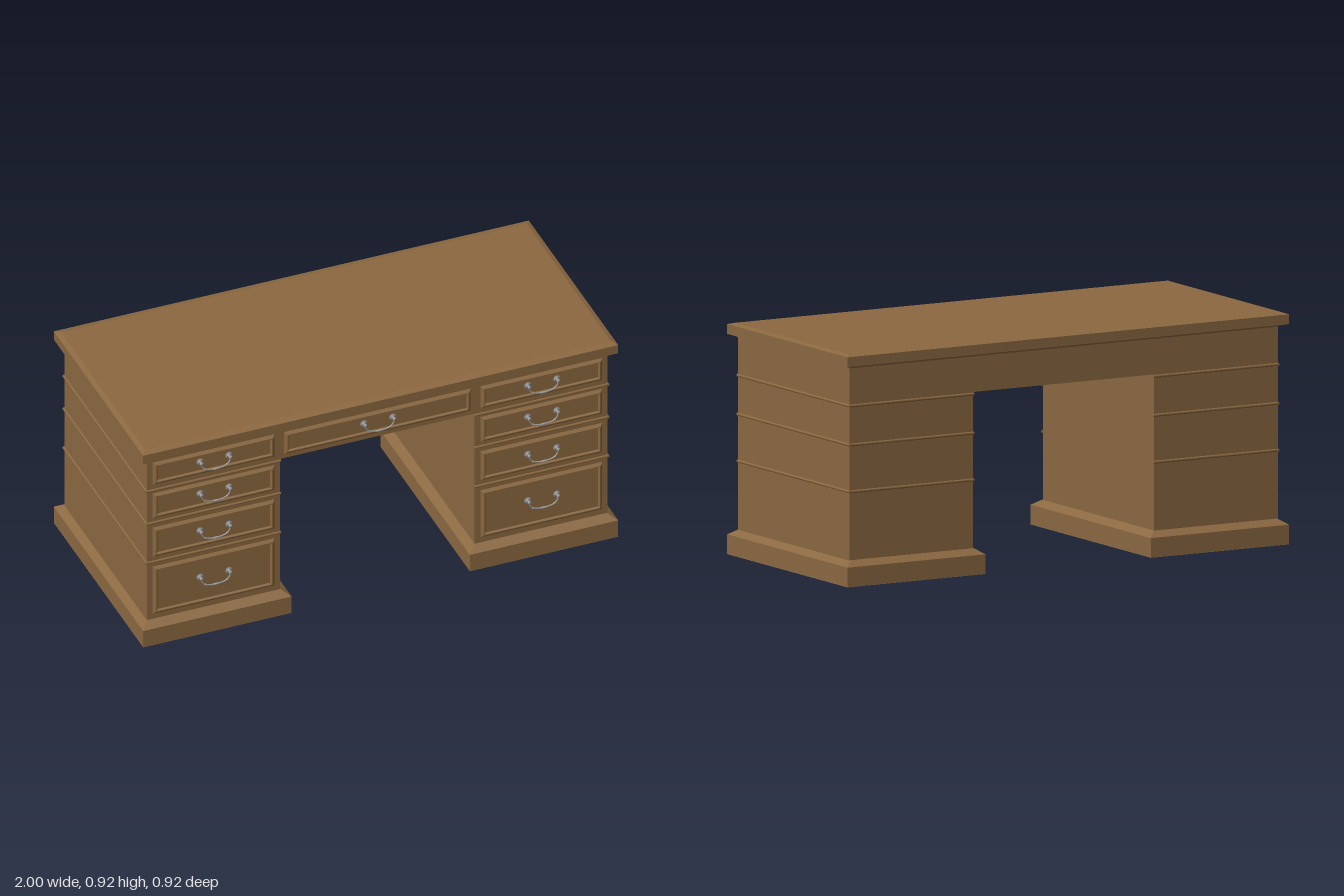
import * as THREE from 'three';

const wood = new THREE.MeshStandardMaterial({ color: 0x8b6840 });
wood.name = 'wood';
const metal = new THREE.MeshStandardMaterial({ color: 0x9a9a9a });
metal.name = 'metal';
const felt = new THREE.MeshStandardMaterial({ color: 0x94846c });
felt.name = 'underside';

// Closed solid through rectangles [halfWidth, halfDepth, height], stacked upwards
function loft(rings) {
  const corners = [[1, 1], [1, -1], [-1, -1], [-1, 1]];
  const at = (r, i) => [corners[i % 4][0] * r[0], r[2], corners[i % 4][1] * r[1]];
  const pos = [];
  const quad = (a, b, c, d) => pos.push(...a, ...b, ...c, ...a, ...c, ...d);
  for (let k = 0; k + 1 < rings.length; k++) {
    for (let i = 0; i < 4; i++) {
      quad(at(rings[k], i), at(rings[k], i + 1), at(rings[k + 1], i + 1), at(rings[k + 1], i));
    }
  }
  const first = rings[0], last = rings[rings.length - 1];
  quad(at(first, 3), at(first, 2), at(first, 1), at(first, 0));
  quad(at(last, 0), at(last, 1), at(last, 2), at(last, 3));
  const g = new THREE.BufferGeometry();
  g.setAttribute('position', new THREE.Float32BufferAttribute(pos, 3));
  g.computeVertexNormals();
  return g;
}

function add(parent, name, geometry, material, x = 0, y = 0, z = 0) {
  const m = new THREE.Mesh(geometry, material);
  m.name = name;
  m.position.set(x, y, z);
  parent.add(m);
  return m;
}

// Drop handle: two turned posts and a hanging bail
const postGeo = new THREE.LatheGeometry([
  [0, 0], [0.015, 0], [0.014, 0.003], [0.005, 0.005], [0.004, 0.011],
  [0.007, 0.014], [0.008, 0.018], [0.006, 0.022], [0, 0.024],
].map(p => new THREE.Vector2(...p)), 14).rotateX(Math.PI / 2);
const bailGeo = new THREE.TubeGeometry(new THREE.CatmullRomCurve3([
  [-0.061, 0], [-0.058, -0.014], [-0.046, -0.029], [-0.025, -0.036], [0, -0.038],
  [0.025, -0.036], [0.046, -0.029], [0.058, -0.014], [0.061, 0],
].map(p => new THREE.Vector3(p[0], p[1], 0))), 28, 0.003, 8);
const gripGeo = new THREE.SphereGeometry(1, 12, 8).scale(0.022, 0.0045, 0.0045);
const ringGeo = new THREE.SphereGeometry(0.0048, 10, 8);

function makeHandle(x, y) {
  const handle = new THREE.Group();
  handle.name = 'handle';
  handle.position.set(x, y, 0.43);
  for (const s of [-1, 1]) {
    add(handle, 'handlePost', postGeo, metal, s * 0.061, 0, 0.004);
    add(handle, 'bailBead', ringGeo, metal, s * 0.046, -0.029, 0.022);
  }
  add(handle, 'bail', bailGeo, metal, 0, 0, 0.022);
  add(handle, 'bailGrip', gripGeo, metal, 0, -0.038, 0.022);
  return handle;
}

// Drawer front: bevelled rim around a sunken panel
function makeDrawer(x, y0, y1, width, handleY) {
  const drawer = new THREE.Group();
  drawer.name = 'drawer';
  const w = width / 2, h = (y1 - y0) / 2;
  const steps = [[0, -0.005], [0, 0.002], [0.010, 0.011], [0.014, 0.011], [0.019, 0.004]];
  const geo = loft(steps.map(([inset, out]) => [w - inset, h - inset, out]));
  geo.rotateX(Math.PI / 2);
  add(drawer, 'drawerFront', geo, wood, x, (y0 + y1) / 2, 0.425);
  drawer.add(makeHandle(x, handleY));
  return drawer;
}

export function createModel() {
  const desk = new THREE.Group();
  desk.name = 'pedestalDesk';

  // Top slab with bevelled edges
  add(desk, 'deskTop', loft([
    [0.972, 0.428, 0.858], [0.972, 0.43, 0.862], [1, 0.46, 0.87],
    [1, 0.46, 0.909], [0.98, 0.433, 0.916],
  ]), wood);

  // Upper case spanning both pedestals
  add(desk, 'upperCase', new THREE.BoxGeometry(1.94, 0.143, 0.85), wood, 0, 0.7885, 0);
  desk.add(makeDrawer(0, 0.737, 0.84, 0.785, 0.8));

  const rows = [
    [0.737, 0.84, 0.8], [0.578, 0.694, 0.65],
    [0.395, 0.532, 0.474], [0.125, 0.347, 0.254],
  ];
  for (const s of [-1, 1]) {
    const pedestal = new THREE.Group();
    pedestal.name = s > 0 ? 'leftPedestal' : 'rightPedestal';
    const cx = s * 0.69;
    add(pedestal, 'pedestalCase', new THREE.BoxGeometry(0.56, 0.637, 0.85), wood, cx, 0.3985, 0);
    add(pedestal, 'plinth', loft([
      [0.3125, 0.46, 0.001], [0.3125, 0.46, 0.078], [0.28, 0.427, 0.1],
    ]), wood, s * 0.6875);
    add(pedestal, 'plinthUnderside', new THREE.BoxGeometry(0.624, 0.002, 0.919), felt, s * 0.6875, 0.001, 0);

    // Bead mouldings on the front, back and outer side
    for (const y of [0.709, 0.555, 0.37]) {
      for (const z of [-0.425, 0.425]) {
        const bar = new THREE.CylinderGeometry(0.006, 0.006, 0.566, 10).rotateZ(Math.PI / 2);
        add(pedestal, 'bead', bar, wood, s * 0.69, y, z);
      }
      const side = new THREE.CylinderGeometry(0.006, 0.006, 0.86, 10).rotateX(Math.PI / 2);
      add(pedestal, 'sideBead', side, wood, s * 0.97, y, 0);
    }
    for (const [y0, y1, hy] of rows) pedestal.add(makeDrawer(cx, y0, y1, 0.512, hy));
    desk.add(pedestal);
  }
  return desk;
}
